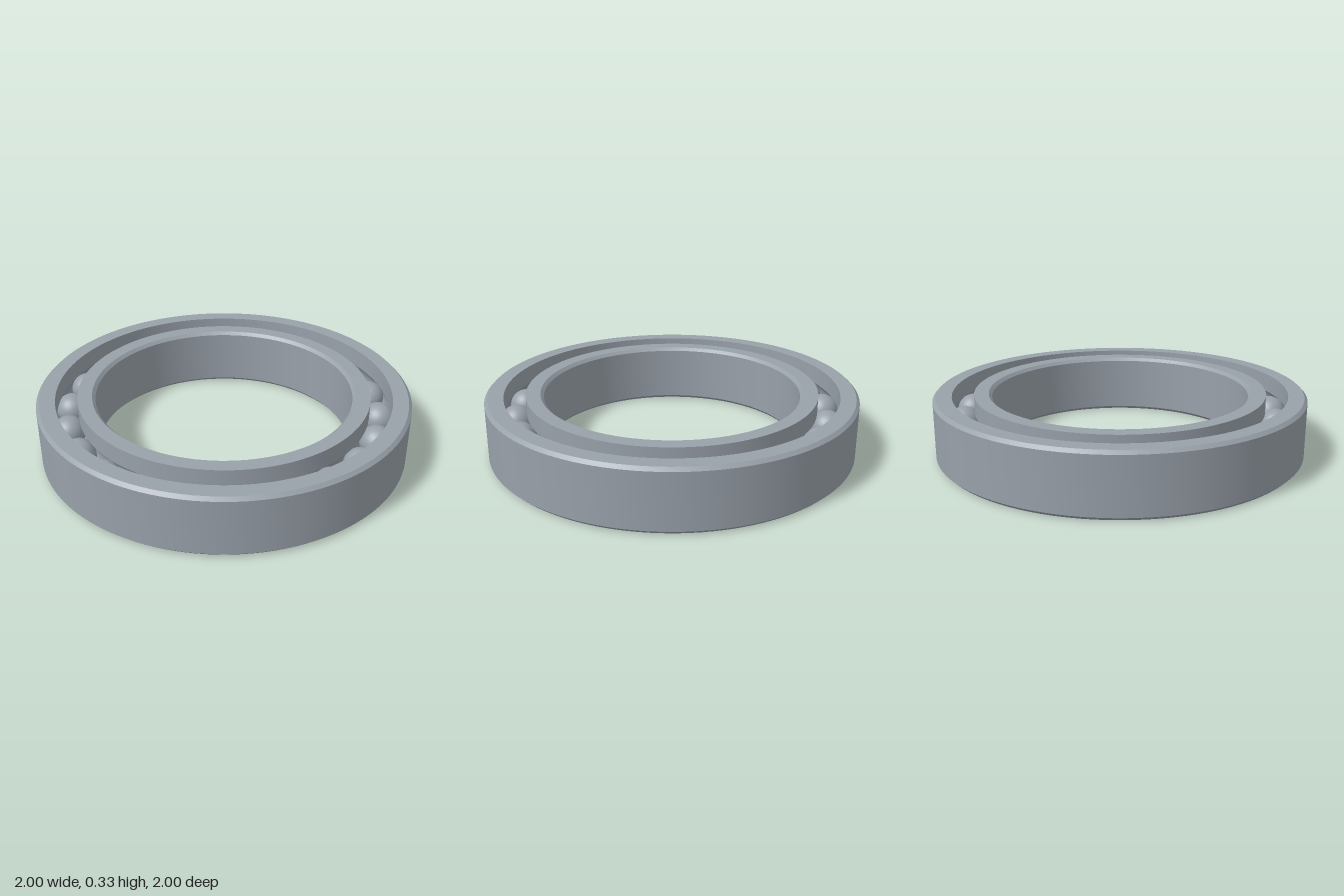
import * as THREE from 'three';
import { toCreasedNormals } from 'three/addons/utils/BufferGeometryUtils.js';

const HEIGHT = 0.33, CHAMFER = 0.017;
const PITCH = 0.842, BALL = 0.088, BALLS = 22;

// Ball groove cut into a ring wall, centred on the ball circle
function groove(wallRadius, middle) {
  const half = Math.acos(Math.abs(wallRadius - PITCH) / BALL);
  const points = [];
  for (let i = 0; i <= 12; i++) {
    const a = middle + half - (2 * half * i) / 12;
    points.push([PITCH + BALL * Math.cos(a), HEIGHT / 2 + BALL * Math.sin(a)]);
  }
  return points;
}

// Closed cross-section, counter-clockwise, turned round the y axis
function ring(name, profile, material) {
  const points = [...profile, profile[0]].map(([x, y]) => new THREE.Vector2(x, y));
  const geometry = toCreasedNormals(new THREE.LatheGeometry(points, 128), 0.5);
  const mesh = new THREE.Mesh(geometry, material);
  mesh.name = name;
  return mesh;
}

export function createModel() {
  const steel = new THREE.MeshStandardMaterial({ color: 0x98a0a9 });
  steel.name = 'steel';
  const model = new THREE.Group();
  model.name = 'ballBearing';

  // Outer ring: chamfered outside, grooved inside
  const outer = 1, outerWall = 0.9;
  model.add(ring('outerRing', [
    [outerWall, 0], [outer - CHAMFER, 0], [outer, CHAMFER],
    [outer, HEIGHT - CHAMFER], [outer - CHAMFER, HEIGHT], [outerWall, HEIGHT],
    ...groove(outerWall, 0),
  ], steel));

  // Inner ring: chamfered bore, grooved outside
  const bore = 0.69, innerWall = 0.785;
  model.add(ring('innerRing', [
    [innerWall, 0], ...groove(innerWall, Math.PI), [innerWall, HEIGHT],
    [bore + CHAMFER, HEIGHT], [bore, HEIGHT - CHAMFER],
    [bore, CHAMFER], [bore + CHAMFER, 0],
  ], steel));

  // Balls, evenly spaced
  const balls = new THREE.Group();
  balls.name = 'balls';
  const ballGeometry = new THREE.SphereGeometry(BALL, 32, 20);
  for (let i = 0; i < BALLS; i++) {
    const a = THREE.MathUtils.degToRad(3.6) + (i / BALLS) * Math.PI * 2;
    const ball = new THREE.Mesh(ballGeometry, steel);
    ball.name = 'ball';
    ball.position.set(PITCH * Math.sin(a), HEIGHT / 2, -PITCH * Math.cos(a));
    balls.add(ball);
  }
  model.add(balls);
  return model;
}
